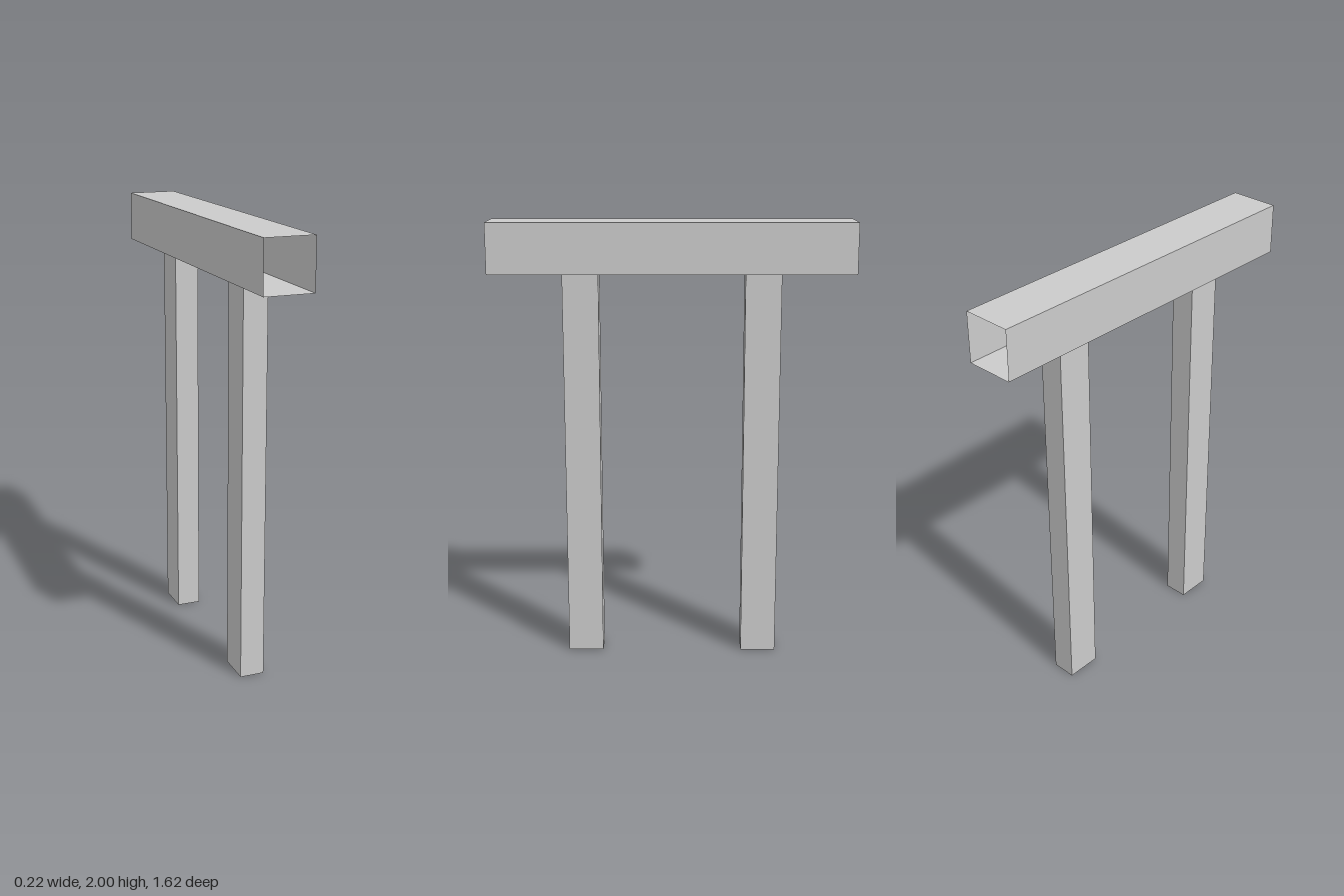
import * as THREE from 'three';

const material = new THREE.MeshStandardMaterial({
  color: 0xcccccc,
  flatShading: true,
  side: THREE.DoubleSide,
});

// Thin-walled rectangular tube along y, open at both ends.
function openTube(name, width, length, depth) {
  let geometry = new THREE.CylinderGeometry(Math.SQRT1_2, Math.SQRT1_2, 1, 4, 1, true);
  geometry.rotateY(Math.PI / 4);
  geometry.scale(width, length, depth);
  geometry = geometry.toNonIndexed();
  geometry.computeVertexNormals();
  const mesh = new THREE.Mesh(geometry, material);
  mesh.name = name;
  return mesh;
}

export function createModel() {
  const model = new THREE.Group();
  model.name = 'postAndBeamFrame';

  const postHeight = 1.775;
  const beamHeight = 2 - postHeight;

  // Horizontal beam, hollow from front to back
  const beam = openTube('beam', 0.22, 1.615, beamHeight);
  beam.rotation.x = Math.PI / 2;
  beam.position.y = postHeight + beamHeight / 2;
  model.add(beam);

  // Two hollow posts under the beam
  for (const [name, side] of [['frontPost', 1], ['backPost', -1]]) {
    const post = openTube(name, 0.11, postHeight, 0.16);
    post.position.set(0, postHeight / 2, side * 0.404);
    model.add(post);
  }

  return model;
}
